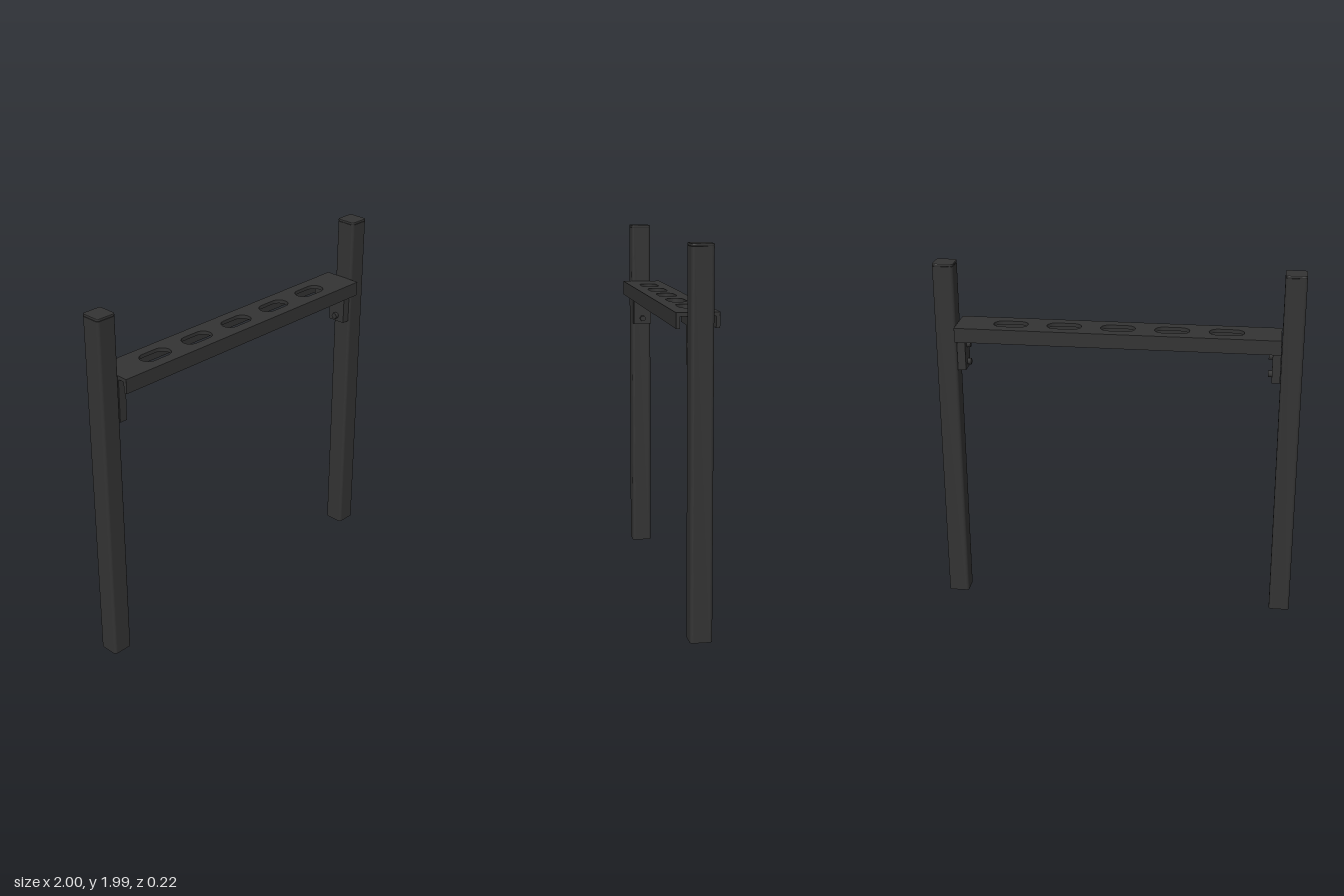
import * as THREE from 'three';

const material = new THREE.MeshStandardMaterial({ color: 0x333333 });

function addMesh(parent, name, geometry, x = 0, y = 0, z = 0) {
  const mesh = new THREE.Mesh(geometry, material);
  mesh.name = name;
  mesh.position.set(x, y, z);
  parent.add(mesh);
  return mesh;
}

// Rounded rectangle centred on the origin, as a shape or a hole
function roundedRect(w, h, r, Type = THREE.Shape) {
  const p = new Type();
  const x = w / 2 - r, y = h / 2 - r;
  p.absarc(x, y, r, 0, Math.PI / 2);
  p.absarc(-x, y, r, Math.PI / 2, Math.PI);
  p.absarc(-x, -y, r, Math.PI, Math.PI * 1.5);
  p.absarc(x, -y, r, Math.PI * 1.5, Math.PI * 2);
  p.closePath();
  return p;
}

// Extrudes a plan shape upwards from y = 0
function extrudeUp(shape, height, bevel = 0) {
  const geometry = new THREE.ExtrudeGeometry(shape, {
    depth: height - 2 * bevel, curveSegments: 8,
    bevelEnabled: bevel > 0, bevelThickness: bevel, bevelSize: bevel, bevelOffset: -bevel, bevelSegments: 2,
  });
  return geometry.translate(0, 0, bevel).rotateX(-Math.PI / 2);
}

const HEIGHT = 1.99, POST = 0.115, BEAM_TOP = 1.65, BEAM_HALF = 0.882, WALL = 0.02;

// Hollow square post, open below and capped above
function buildPost() {
  const post = new THREE.Group();
  const section = roundedRect(POST, POST, 0.016);
  section.holes.push(roundedRect(POST - 0.016, POST - 0.016, 0.009, THREE.Path));
  addMesh(post, 'postTube', extrudeUp(section, HEIGHT - 0.014));
  addMesh(post, 'postCap', extrudeUp(roundedRect(POST, POST, 0.016), 0.014, 0.004), 0, HEIGHT - 0.014, 0);
  return post;
}

// Angle bracket: upright leg against the post, flat leg under the beam
function buildBracket() {
  const bracket = new THREE.Group();
  const t = 0.045, drop = 0.24, reach = 0.18, width = 0.105;
  const profile = new THREE.Shape();
  profile.moveTo(0, 0);
  profile.lineTo(-reach, 0);
  profile.lineTo(-reach, -t);
  profile.lineTo(-t, -t);
  profile.lineTo(-t, -drop);
  profile.lineTo(0, -drop);
  profile.closePath();
  const angle = new THREE.ExtrudeGeometry(profile, { depth: width, bevelEnabled: false });
  addMesh(bracket, 'bracketAngle', angle.translate(0, 0, -width / 2));
  for (const y of [-0.105, -0.205]) {
    const head = new THREE.CylinderGeometry(0.018, 0.018, 0.022, 6).rotateZ(Math.PI / 2);
    addMesh(bracket, 'boltHead', head, -t - 0.01, y, 0);
  }
  return bracket;
}

export function createModel() {
  const model = new THREE.Group();
  model.name = 'postFrame';

  // Channel beam: slotted web with a lip down each side
  const beam = new THREE.Group();
  beam.name = 'beam';
  const web = roundedRect(BEAM_HALF * 2, 0.22, 0.001);
  for (let i = -2; i <= 2; i++) {
    const cx = i * 0.294, r = 0.049, run = 0.046;
    const slot = new THREE.Path();
    slot.absarc(cx + run, 0, r, -Math.PI / 2, Math.PI / 2);
    slot.absarc(cx - run, 0, r, Math.PI / 2, Math.PI * 1.5);
    slot.closePath();
    web.holes.push(slot);
  }
  addMesh(beam, 'beamWeb', extrudeUp(web, WALL), 0, BEAM_TOP - WALL, 0);
  for (const side of [-1, 1]) {
    const lip = new THREE.BoxGeometry(BEAM_HALF * 2, 0.06, WALL);
    addMesh(beam, 'beamLip', lip, 0, BEAM_TOP - WALL - 0.03, side * (0.11 - WALL / 2));
  }
  model.add(beam);

  // Posts and brackets at both ends
  for (const side of [1, -1]) {
    const label = side > 0 ? 'left' : 'right';
    const post = buildPost();
    post.name = label + 'Post';
    post.position.x = side * (1 - POST / 2);
    const bracket = buildBracket();
    bracket.name = label + 'Bracket';
    bracket.position.set(side * 0.883, BEAM_TOP - WALL, 0);
    if (side < 0) bracket.rotation.y = Math.PI;
    model.add(post, bracket);
  }
  return model;
}
